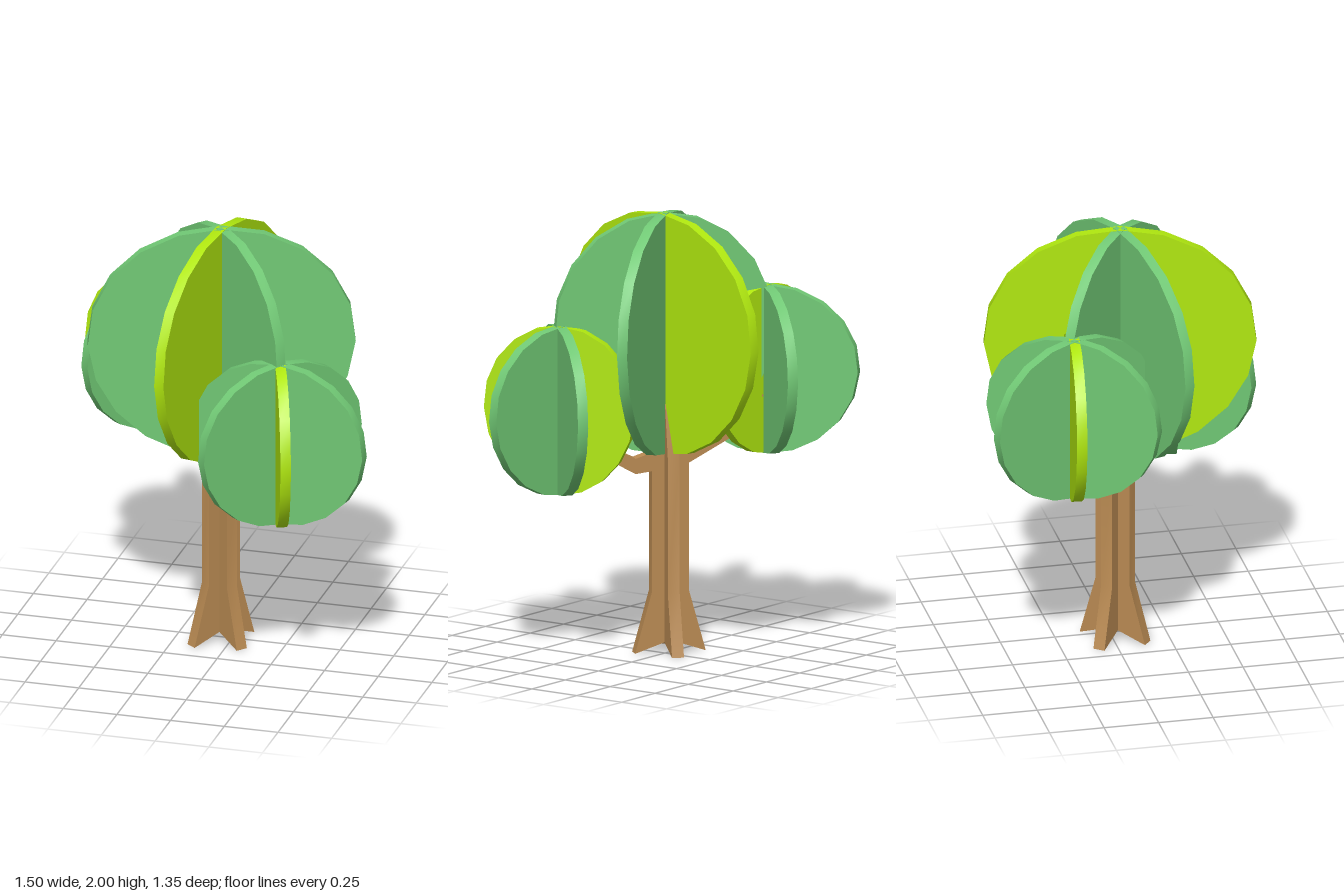
import * as THREE from 'three';
import { toCreasedNormals } from 'three/addons/utils/BufferGeometryUtils.js';

const GREEN = new THREE.MeshStandardMaterial({ color: 0x71c975 });
const LIME = new THREE.MeshStandardMaterial({ color: 0xb0e80f });
const WOOD = new THREE.MeshStandardMaterial({ color: 0xb98a52 });
const rad = THREE.MathUtils.degToRad;

// Flat panel cut from an outline, centred on its thickness and turned about y
function panel(name, points, thickness, angle, material) {
  const shape = new THREE.Shape(points.map(([x, y]) => new THREE.Vector2(x, y)));
  const geo = new THREE.ExtrudeGeometry(shape, { depth: thickness, bevelEnabled: false });
  geo.translate(0, 0, -thickness / 2);
  const mesh = new THREE.Mesh(toCreasedNormals(geo, 0.5), material);
  mesh.name = name;
  mesh.rotation.y = rad(angle);
  return mesh;
}

// Slightly egg-shaped disc outline, a little fuller in its upper half
function discOutline(rx, ry, sides = 20) {
  return Array.from({ length: sides }, (_, i) => {
    const a = (i / sides) * Math.PI * 2;
    return [rx * Math.cos(a) * (1 + 0.04 * Math.sin(a)), ry * Math.sin(a)];
  });
}

// Three interlocking discs, 60 degrees apart
function crown(name, [x, y, z], scale, turn, limeIndex) {
  const group = new THREE.Group();
  group.name = name;
  [0.61, 0.6, 0.5].forEach((rx, i) => {
    const outline = discOutline(rx * scale, 0.55 * scale);
    group.add(panel('leafDisc', outline, 0.047, 78.7 - 60 * i + turn, i === limeIndex ? LIME : GREEN));
  });
  group.position.set(x, y, z);
  return group;
}

export function createModel() {
  const tree = new THREE.Group();
  tree.name = 'tree';

  // Trunk: two crossed planks with flared, notched feet
  const trunk = new THREE.Group();
  trunk.name = 'trunk';
  const footRight = [[0, 0.055], [0.163, 0], [0.085, 0.28]];
  const footLeft = [[-0.085, 0.28], [-0.163, 0]];

  // Plank with a branch reaching into each side crown
  trunk.add(panel('branchPlank', [
    ...footRight,
    [0.085, 0.83], [0.16, 0.82], [0.34, 0.92], [0.33, 0.97], [0.16, 0.89], [0.07, 0.92],
    [0, 0.96],
    [-0.09, 0.96], [-0.24, 1.03], [-0.4, 1.18], [-0.43, 1.15], [-0.27, 0.96], [-0.085, 0.86],
    ...footLeft,
  ], 0.055, -39, WOOD));

  // Plank that tapers to a point inside the main crown
  trunk.add(panel('spirePlank', [
    ...footRight, [0.085, 0.9], [0, 1.3], [-0.085, 0.9], ...footLeft,
  ], 0.055, 51, WOOD));
  trunk.position.set(-0.05, 0, 0.015);
  tree.add(trunk);

  // Foliage
  tree.add(crown('mainCrown', [-0.04, 1.45, 0.04], 1, 0, 0));
  tree.add(crown('frontCrown', [0.32, 1.12, 0.345], 0.7, -28.4, 2));
  tree.add(crown('backCrown', [-0.415, 1.265, -0.255], 0.7, 34.5, 2));

  return tree;
}
